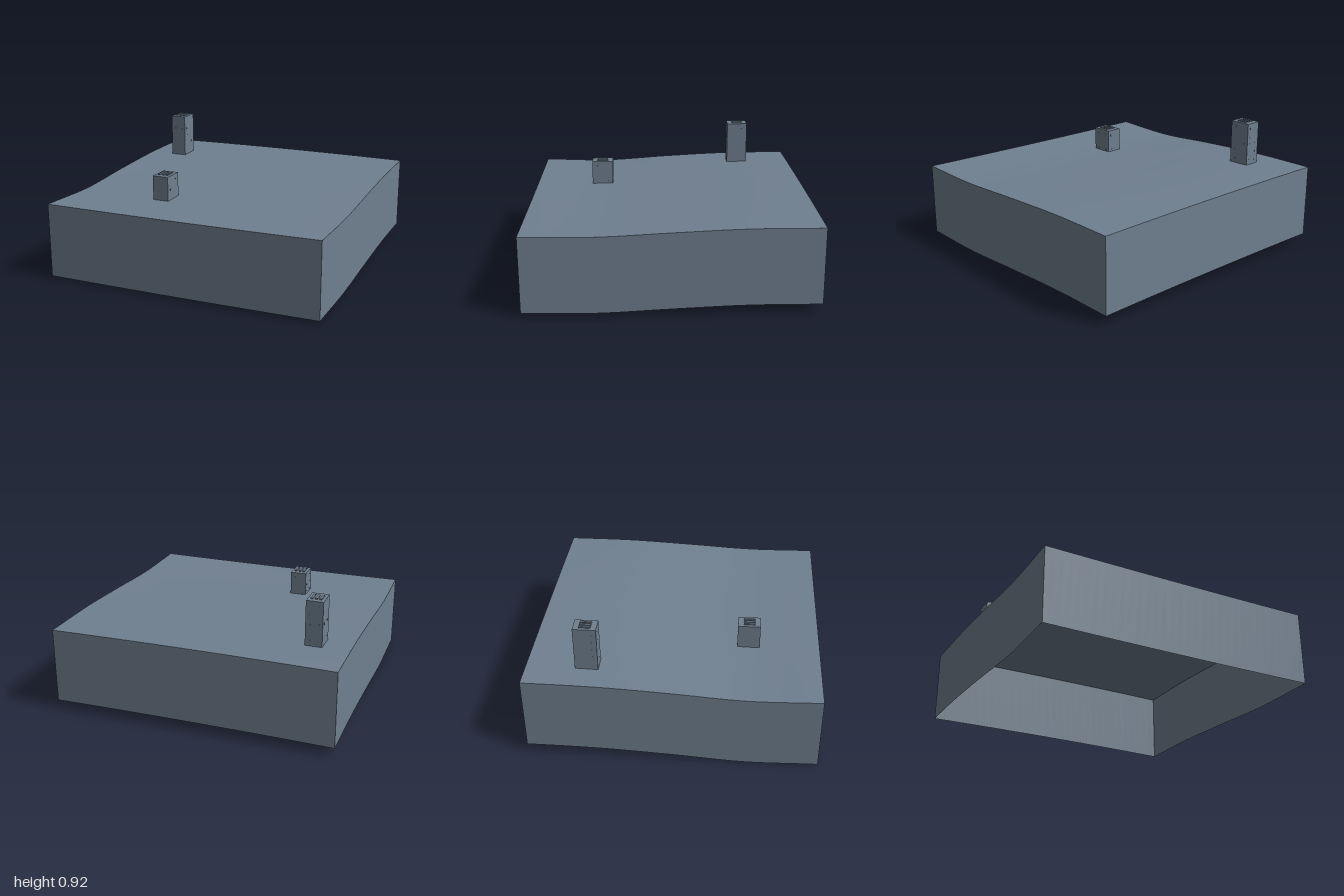
import * as THREE from 'three';

const THICK = 0.533; // vertical depth of the skirt
const SEG = 32;

// Height profiles running from z = -1 to z = 1 at x = -1, 0 and 1
const profiles = [
  [0.595, 0.59, 0.565, 0.533, 0.544],
  [0.604, 0.592, 0.562, 0.538, 0.546],
  [0.598, 0.597, 0.576, 0.552, 0.557],
].map((ys) => new THREE.SplineCurve(ys.map((y, i) => new THREE.Vector2(i, y))));

function heightAt(x, z) {
  const t = THREE.MathUtils.clamp((z + 1) / 2, 0, 1);
  const [a, b, c] = profiles.map((p) => p.getPoint(t).y);
  return b + ((c - a) / 2) * x + ((a + c) / 2 - b) * x * x;
}

export function createModel() {
  const model = new THREE.Group();
  const slate = new THREE.MeshStandardMaterial({ color: 0x708090, side: THREE.DoubleSide });
  slate.name = 'slate';

  const add = (parent, name, geometry, x = 0, y = 0, z = 0) => {
    const mesh = new THREE.Mesh(geometry, slate);
    mesh.name = name;
    mesh.position.set(x, y, z);
    parent.add(mesh);
    return mesh;
  };

  // Gently rolling ground
  const ground = new THREE.PlaneGeometry(2, 2, SEG, SEG).rotateX(-Math.PI / 2);
  const gp = ground.attributes.position;
  for (let i = 0; i < gp.count; i++) gp.setY(i, heightAt(gp.getX(i), gp.getZ(i)));
  ground.computeVertexNormals();
  add(model, 'ground', ground);

  // Four skirt walls whose top and bottom edges follow the ground; open below
  ['frontWall', 'leftWall', 'backWall', 'rightWall'].forEach((name, k) => {
    const wall = new THREE.PlaneGeometry(2, 1, SEG, 1).translate(0, 0, 1).rotateY((k * Math.PI) / 2);
    const p = wall.attributes.position;
    for (let i = 0; i < p.count; i++) {
      const drop = p.getY(i) > 0 ? 0 : THICK;
      p.setY(i, heightAt(p.getX(i), p.getZ(i)) - drop);
    }
    add(model, name, wall);
  });

  // Rectangular towers with roof ribs and small windows
  function addTower(name, x, z, top, base, rows) {
    const tower = new THREE.Group();
    tower.name = name;
    tower.position.set(x, 0, z);
    model.add(tower);
    const w = 0.118, d = 0.158;
    add(tower, 'towerBody', new THREE.BoxGeometry(w, top - base, d), 0, (top + base) / 2, 0);
    for (const i of [-1, 0, 1]) {
      add(tower, 'roofRib', new THREE.BoxGeometry(0.016, 0.008, 0.08), i * 0.03, top + 0.003, 0);
    }
    for (let r = 0; r < rows; r++) {
      const y = top - 0.04 - r * 0.06;
      for (const side of [-1, 1]) {
        for (const u of [-1, 1]) {
          add(tower, 'windowPlate', new THREE.BoxGeometry(0.01, 0.014, 0.002), u * 0.03, y, side * (d / 2));
          add(tower, 'windowPlate', new THREE.BoxGeometry(0.002, 0.014, 0.01), side * (w / 2), y, u * 0.04);
        }
      }
    }
  }
  addTower('tallTower', -0.752, -0.585, 0.91, 0.585, 5);
  addTower('shortTower', -0.338, 0.5, 0.71, 0.532, 3);

  return model;
}
